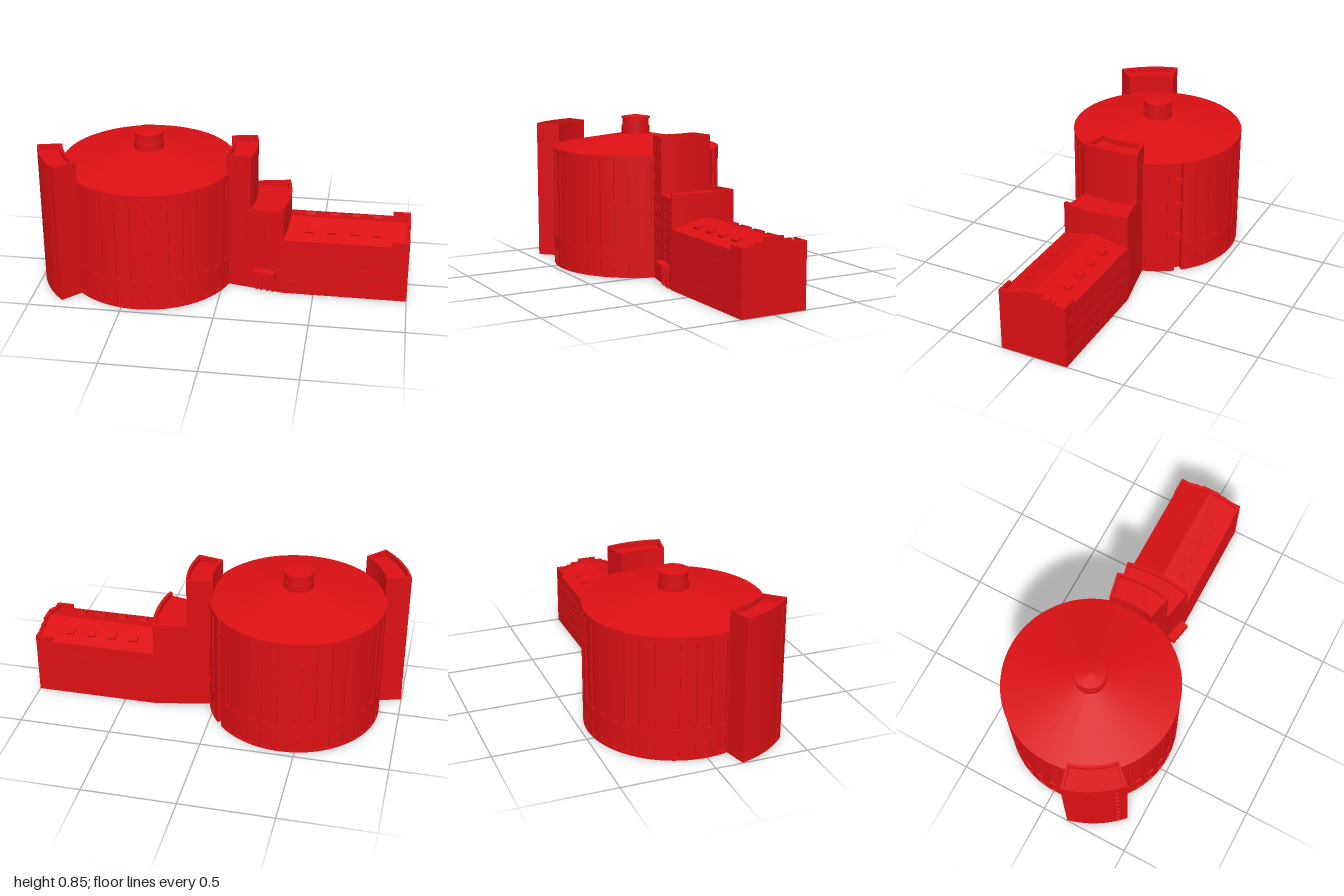
import * as THREE from 'three';
import { toCreasedNormals } from 'three/addons/utils/BufferGeometryUtils.js';

const CX = -0.42; // centre of the round hall; all curved parts share it
const material = new THREE.MeshStandardMaterial({ color: 0xdc1014 });
const rad = THREE.MathUtils.degToRad;

function add(parent, name, geometry, x = 0, y = 0, z = 0) {
  const mesh = new THREE.Mesh(geometry, material);
  mesh.name = name;
  mesh.position.set(x, y, z);
  parent.add(mesh);
  return mesh;
}

function box(parent, name, w, h, d, x, y, z) {
  return add(parent, name, new THREE.BoxGeometry(w, h, d), x, y, z);
}

// Points of a ring sector; angles in degrees from +x towards +z.
// a0..a1 holds at the inner radius, b0..b1 at the outer one.
function sectorPoints(r0, r1, a0, a1, b0 = a0, b1 = a1) {
  const pts = [];
  const n = Math.max(2, Math.ceil((a1 - a0) / 2.5));
  const put = (r, deg) => pts.push(new THREE.Vector2(r * Math.cos(rad(deg)), r * Math.sin(rad(deg))));
  for (let i = 0; i <= n; i++) put(r1, b0 + ((b1 - b0) * i) / n);
  for (let i = n; i >= 0; i--) put(r0, a0 + ((a1 - a0) * i) / n);
  return pts;
}

// Upright extrusion of a plan outline between two heights.
function upright(parent, name, points, y0, y1, hole) {
  const shape = new THREE.Shape(points);
  if (hole) shape.holes.push(new THREE.Path(hole));
  const geo = new THREE.ExtrudeGeometry(shape, { depth: y1 - y0, bevelEnabled: false });
  geo.rotateX(Math.PI / 2);
  return add(parent, name, toCreasedNormals(geo, rad(30)), CX, y1, 0);
}

function group(parent, name) {
  const g = new THREE.Group();
  g.name = name;
  parent.add(g);
  return g;
}

function buildHall(model) {
  const hall = group(model, 'roundHall');
  const R = 0.469, TOP = 0.668, BACK = 0.46;
  add(hall, 'hallCore', new THREE.CylinderGeometry(0.435, 0.435, TOP, 96), CX, TOP / 2, 0);

  // Window plane and solid bands, open at the tall slot at -40 degrees
  const s0 = -37.5, s1 = 317.5;
  upright(hall, 'windowPlane', sectorPoints(0.43, BACK, s0, s1), 0, TOP);
  for (const [y0, y1] of [[0, 0.015], [0.095, 0.167], [0.64, TOP]])
    upright(hall, 'wallBand', sectorPoints(0.45, R, s0, s1), y0, y1);

  // Piers between the windows
  for (let k = 0; k < 36; k++) {
    const a = k * 10 + 2.5;
    upright(hall, 'lowerPier', sectorPoints(0.455, R, a, a + 5), 0.015, 0.095);
    upright(hall, 'upperPier', sectorPoints(0.455, R, a, a + 5), 0.167, 0.64);
  }
  for (const y of [0.2, 0.39, 0.54])
    upright(hall, 'slotSpandrel', sectorPoints(0.43, 0.46, -42.5, -37.5), y, y + 0.025);

  // Shallow roof and lantern
  const roof = [[0, TOP - 0.004], [R + 0.001, TOP - 0.004], [R + 0.001, TOP], [0.07, 0.741], [0, 0.741]];
  const lantern = [[0, 0.73], [0.08, 0.73], [0.08, 0.782], [0.075, 0.782], [0.075, 0.825], [0.081, 0.825],
    [0.081, 0.834], [0, 0.846]];
  for (const [name, profile] of [['hallRoof', roof], ['lantern', lantern]]) {
    const geo = new THREE.LatheGeometry(profile.map((p) => new THREE.Vector2(...p)), 96);
    add(hall, name, toCreasedNormals(geo, rad(9)), CX, 0, 0);
  }
}

function buildStairTower(model) {
  const tower = group(model, 'stairTower');
  const A0 = 133.6, A1 = 166, R0 = 0.462, R1 = 0.596, TOP = 0.778, FLOOR = 0.75;
  upright(tower, 'towerBody', sectorPoints(R0, R1 - 0.008, A0, A1), 0, FLOOR);
  upright(tower, 'towerParapet', sectorPoints(R0, R1, A0, A1), FLOOR, TOP,
    sectorPoints(R0 + 0.014, R1 - 0.014, A0 + 1.6, A1 - 1.6));
  // Outer skin with a narrow column of windows
  upright(tower, 'towerSkin', sectorPoints(0.58, R1, A0, 137.6), 0, FLOOR);
  upright(tower, 'towerSkin', sectorPoints(0.58, R1, 139.6, A1), 0, FLOOR);
  for (let i = 0; i < 9; i++)
    upright(tower, 'towerSpandrel', sectorPoints(0.58, R1, 137.6, 139.6), i * 0.0915, i * 0.0915 + 0.018);
}

function buildLinkBlocks(model) {
  const link = group(model, 'linkBlocks');
  const wedge = (r0, r1, h0, h1) => sectorPoints(r0, r1, -h0, h0, -h1, h1);

  // High block beside the hall, with a sunken roof
  const high = wedge(0.45, 0.59, 15.9, 14.8);
  upright(link, 'highBlock', high, 0, 0.75);
  upright(link, 'highParapet', high, 0.75, 0.778, wedge(0.464, 0.576, 14.2, 13.4));

  // Middle block, with a rim on the outer and rear edges
  upright(link, 'middleBlock', wedge(0.585, 0.775, 14.85, 13.96), 0, 0.48);
  upright(link, 'middleRim', wedge(0.757, 0.775, 14.0, 13.96), 0.48, 0.505);
  upright(link, 'rearRim', sectorPoints(0.585, 0.76, -14.85, -13.5, -14, -12.9), 0.48, 0.505);

  // Fittings of the slanted front wall: local x runs along the wall
  const wall = group(link, 'slantedFrontWall');
  wall.position.set(0.02, 0, 0.125);
  wall.rotation.y = -Math.atan(0.2);
  for (let y = 0.16; y < 0.45; y += 0.055) {
    box(wall, 'slitWindow', 0.01, 0.035, 0.006, 0.21, y, 0);
    box(wall, 'slitWindow', 0.01, 0.035, 0.006, 0.305, y, 0);
  }
  for (let y = 0.08; y < 0.74; y += 0.08) {
    box(wall, 'slitWindow', 0.01, 0.05, 0.006, 0.045, y, 0);
    box(wall, 'slitWindow', 0.01, 0.05, 0.006, 0.1, y, 0);
  }
  box(wall, 'porchCanopy', 0.124, 0.042, 0.05, 0.22, 0.107, 0.02);
  for (const x of [0.175, 0.2, 0.235, 0.265])
    box(wall, 'porchPost', 0.01, 0.09, 0.012, x, 0.045, 0.004);
}

function buildWing(model) {
  const wing = group(model, 'officeWing');
  const X0 = 0.32, X1 = 1.0, HZ = 0.187, EAVE = 0.322, RIDGE = 0.378;

  // Outline across the wing, extruded along x
  const along = (name, pts, x0, x1) => {
    const shape = new THREE.Shape(pts.map((p) => new THREE.Vector2(...p)));
    const geo = new THREE.ExtrudeGeometry(shape, { depth: x1 - x0, bevelEnabled: false });
    geo.rotateY(Math.PI / 2);
    add(wing, name, geo, x0, 0, 0);
  };
  along('wingBody', [[-HZ, 0], [HZ, 0], [HZ, EAVE], [0, RIDGE], [-HZ, EAVE]], X0, X1 - 0.002);

  // Stepped end gable
  const half = [[HZ, 0], [HZ, 0.348], [0.125, 0.348], [0.125, 0.355], [0.1, 0.355], [0.1, 0.367],
    [0.052, 0.367], [0.052, 0.385]];
  along('steppedGable', [...half, ...half.slice().reverse().map(([z, y]) => [-z, y])], X1 - 0.02, X1);

  for (const s of [-1, 1]) {
    box(wing, 'cornerParapet', 0.095, 0.03, 0.014, 0.9525, 0.333, s * (HZ - 0.007));
    // Rooflights lying on the slope
    for (const x of [0.465, 0.585, 0.705, 0.825]) {
      const light = box(wing, 'rooflight', 0.045, 0.016, 0.04, x, 0.35, s * 0.104);
      light.rotation.x = s * Math.atan((RIDGE - EAVE) / HZ);
    }
    // Sill lines along the sides
    for (const y of [0.08, 0.165, 0.25])
      box(wing, 'sideSill', X1 - 0.36, 0.005, 0.006, (X1 + 0.36) / 2 - 0.004, y, s * HZ);
  }

  // End window sills and the side door
  for (let i = 0; i < 6; i++)
    for (const z of [0.022, 0.09])
      box(wing, 'endSill', 0.006, 0.004, 0.042, X1 - 0.001, 0.045 + i * 0.045, z);
  box(wing, 'sideDoor', 0.04, 0.045, 0.006, 0.96, 0.042, HZ);
}

export function createModel() {
  const model = new THREE.Group();
  model.name = 'roundHallWithWing';
  buildHall(model);
  buildStairTower(model);
  buildLinkBlocks(model);
  buildWing(model);
  return model;
}
